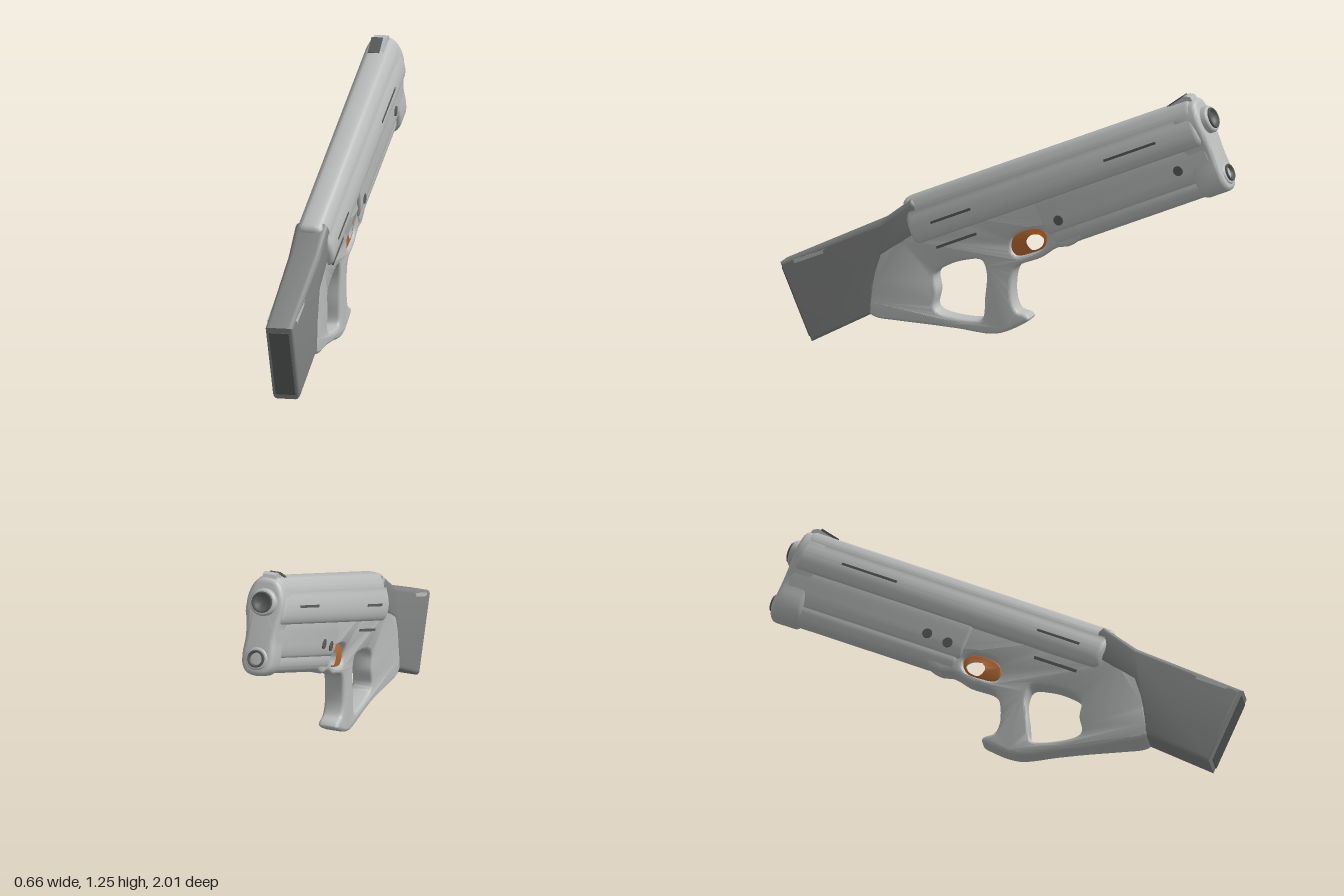
import * as THREE from 'three';
import { toCreasedNormals } from 'three/addons/utils/BufferGeometryUtils.js';

const YAW = 0.267, PITCH = 0.407, SHRINK = Math.cos(YAW);
const mat = (name, color) => Object.assign(new THREE.MeshStandardMaterial({ color }), { name });
const V2 = (a, b) => new THREE.Vector2(a, b);

// Closed smooth outline through a few points
function smooth(pts, n = 6) {
  const c = new THREE.CatmullRomCurve3(pts.map(([a, b]) => new THREE.Vector3(a, b, 0)), true, 'centripetal');
  return c.getPoints(pts.length * n).slice(0, -1).map(p => V2(p.x, p.y));
}

// Mirror half a cross-section, listed from top to bottom
const mirrored = half => [...half, ...half.slice().reverse().map(([x, y]) => [-x, y])];

// Side profile given as (z, y) -> (forward, up)
const side = pts => pts.map(([z, y]) => [-z / SHRINK, y]);

function extrude(outline, depth, bevel, holes = []) {
  const shape = new THREE.Shape(outline);
  holes.forEach(h => shape.holes.push(new THREE.Path(h)));
  const g = new THREE.ExtrudeGeometry(shape, {
    depth: depth - 2 * bevel, bevelEnabled: bevel > 0, bevelThickness: bevel,
    bevelSize: bevel, bevelOffset: -bevel, bevelSegments: 4,
  });
  return g.translate(0, 0, bevel);
}

// Plate across the width of the model, its half width set by a rule of (z, y)
function sidePlate(outline, bevel, halfWidth, holes) {
  const g = extrude(outline, 2, bevel / 0.05, holes);
  return g;
}

// Side profile extruded across x, then widened by a rule
function across(outline, half, bevel, widen, holes) {
  const g = extrude(outline, half * 2, bevel, holes).translate(0, 0, -half).rotateY(Math.PI / 2);
  const p = g.attributes.position;
  if (widen) for (let i = 0; i < p.count; i++) p.setX(i, p.getX(i) * widen(p.getZ(i) * SHRINK, p.getY(i)));
  return toCreasedNormals(g, 0.65);
}

// Cross-section extruded along the barrel from u0 to u1
const along = (outline, u0, u1, bevel) =>
  toCreasedNormals(extrude(outline, u1 - u0, bevel).translate(0, 0, -u1), 0.65);

export function createModel() {
  const body = mat('light grey shell', 0xb9bcbb);
  const grey = mat('mid grey stock', 0x828483);
  const dark = mat('dark grey fittings', 0x5a5c5b);
  const orange = mat('orange trigger', 0xb8682f);

  const model = new THREE.Group();
  model.name = 'model';
  const gun = new THREE.Group();
  gun.name = 'sideFrame';
  gun.rotation.y = -YAW;
  const barrel = new THREE.Group();
  barrel.name = 'barrelFrame';
  barrel.rotation.x = PITCH;
  gun.add(barrel);
  model.add(gun);
  const add = (parent, name, geo, m) => {
    const mesh = new THREE.Mesh(geo, m);
    mesh.name = name;
    parent.add(mesh);
    return mesh;
  };
  const step = THREE.MathUtils.smoothstep;

  // Stock, widening toward the housing
  const stockPts = side([[0.985, 0.345], [0.54, 0.572], [0.4, 0.685], [0.34, 0.64], [0.38, 0.53],
    [0.52, 0.42], [0.555, 0.28], [0.56, 0.165], [0.845, 0.005]]).map(p => V2(...p)).reverse();
  add(gun, 'stock', across(stockPts, 0.062, 0.022, z => 1.18 - 0.18 * step(z, 0.4, 0.85)), grey);

  // Butt pad set on the sloped rear face
  const pad = add(gun, 'buttPad', new THREE.BoxGeometry(0.088, 0.32, 0.008), dark);
  pad.position.set(0, 0.175, 0.915 / SHRINK);
  pad.rotation.x = Math.atan2(0.14 / SHRINK, 0.34);

  // Receiver and grip loop with its two openings
  const receiver = smooth(side([[0.42, 0.6], [0.475, 0.5], [0.55, 0.44], [0.578, 0.28], [0.588, 0.165],
    [0.565, 0.145], [0.46, 0.135], [0.2, 0.122], [0.03, 0.115], [-0.08, 0.165], [-0.118, 0.195],
    [-0.105, 0.212], [-0.065, 0.225], [-0.042, 0.275], [-0.044, 0.38], [-0.065, 0.425], [-0.17, 0.475],
    [-0.24, 0.525], [-0.3, 0.54], [-0.36, 0.6], [-0.37, 0.78], [-0.3, 0.82], [0, 0.72], [0.3, 0.62]]));
  const gripHole = smooth(side([[0.3, 0.355], [0.245, 0.4], [0.17, 0.43], [0.095, 0.437], [0.073, 0.385],
    [0.08, 0.27], [0.09, 0.18], [0.12, 0.168], [0.28, 0.185], [0.303, 0.21], [0.293, 0.28]]));
  const guardPts = side([[-0.038, 0.5], [-0.045, 0.55], [-0.09, 0.585], [-0.165, 0.602], [-0.195, 0.575],
    [-0.18, 0.52], [-0.12, 0.488], [-0.06, 0.474]]);
  const widen = (z, y) => 1 + 0.5 * step(z, 0.28, 0.55)
    + 0.4 * step(y * Math.cos(PITCH) + z * Math.sin(PITCH), 0.46, 0.54) * (1 - step(z, 0.28, 0.55));
  add(gun, 'receiver', across(receiver, 0.046, 0.016, widen, [gripHole, smooth(guardPts)]), body);

  // Orange trigger lining the guard opening
  const finger = smooth(side([[-0.1, 0.535], [-0.115, 0.568], [-0.155, 0.58], [-0.185, 0.56],
    [-0.175, 0.522], [-0.13, 0.5]]));
  add(gun, 'trigger', across(smooth(guardPts), 0.034, 0.004, null, [finger]), orange);

  // Pale inlays on the stock, and screws above the guard
  for (const s of [-1, 1]) {
    const inlay = add(gun, 'stockInlay', new THREE.BoxGeometry(0.006, 0.016, 0.22), body);
    inlay.position.set(s * 0.0625, 0.402, 0.82 / SHRINK);
    inlay.rotation.x = PITCH;
  }

  // Upper housing: narrow flat top, shouldered sides, full lower bulge
  const housing = smooth(mirrored([[0.036, 0.8], [0.05, 0.79], [0.07, 0.757], [0.075, 0.735], [0.086, 0.705],
    [0.093, 0.67], [0.091, 0.63], [0.078, 0.604], [0.06, 0.6]]), 4).reverse();
  add(barrel, 'upperHousing', along(housing, -0.165, 1.285, 0.03), body);

  // Lower body and the rounded fore-end tube under it
  const lower = smooth(mirrored([[0.06, 0.63], [0.07, 0.61], [0.069, 0.53], [0.063, 0.475], [0.05, 0.45]]), 4).reverse();
  add(barrel, 'lowerBody', along(lower, 0.43, 1.28, 0.012), body);
  const tube = smooth(mirrored([[0.04, 0.48], [0.052, 0.45], [0.05, 0.415], [0.036, 0.39], [0.015, 0.379]]), 4).reverse();
  add(barrel, 'foreEnd', along(tube, 0.44, 1.2, 0.015), body);

  // Front cap around both bores
  const cap = smooth(mirrored([[0.035, 0.792], [0.06, 0.77], [0.08, 0.72], [0.084, 0.67], [0.074, 0.6],
    [0.068, 0.53], [0.072, 0.46], [0.064, 0.405], [0.035, 0.374]]), 4).reverse();
  add(barrel, 'frontCap', along(cap, 1.17, 1.305, 0.022), body);

  // Bores: pale collar with a dark hollow muzzle
  for (const [name, v, r, u] of [['upperMuzzle', 0.69, 0.06, 1.335], ['lowerMuzzle', 0.443, 0.052, 1.312]]) {
    const bore = new THREE.Group();
    bore.name = name;
    bore.position.set(0, v, -u);
    bore.rotation.x = -Math.PI / 2;
    barrel.add(bore);
    const lathe = pts => new THREE.LatheGeometry(pts.map(p => V2(...p)), 32);
    add(bore, 'collar', lathe([[r, -0.06], [r, -0.012], [r - 0.004, -0.003], [r - 0.01, 0], [r - 0.02, 0]]), body);
    add(bore, 'muzzle', lathe([[r - 0.014, -0.04], [r - 0.014, 0.006], [r - 0.018, 0.01], [r - 0.024, 0.006],
      [r - 0.026, -0.012], [0, -0.014]]), dark);
  }

  // Front sight ramp with a dark face
  const ramp = new THREE.Shape([V2(1.14, 0.78), V2(1.29, 0.78), V2(1.285, 0.81), V2(1.265, 0.821), V2(1.245, 0.82), V2(1.16, 0.8)]);
  const rampGeo = new THREE.ExtrudeGeometry(ramp, { depth: 0.06, bevelEnabled: false });
  add(barrel, 'sightRamp', rampGeo.translate(0, 0, -0.03).rotateY(Math.PI / 2), body);
  const face = add(barrel, 'sightFace', new THREE.BoxGeometry(0.05, 0.008, 0.09), dark);
  face.position.set(-0.012, 0.811, -1.203);
  face.rotation.x = Math.atan2(0.02, 0.085);

  // Dark slots along both sides: [u centre, v, x, length]
  for (const s of [-1, 1]) {
    for (const [u, v, x, len] of [[0.05, 0.673, 0.0905, 0.2], [0.95, 0.68, 0.0895, 0.26], [0.02, 0.56, 0.0635, 0.2]]) {
      const slot = add(barrel, 'sideSlot', new THREE.BoxGeometry(0.007, 0.011, len), dark);
      slot.position.set(s * x, v, -u);
    }
  }

  // Screw heads: [side, u, v, x]
  for (const [s, u, v, x] of [[-1, 0.505, 0.498, 0.066], [-1, 0.605, 0.508, 0.067], [1, 0.505, 0.498, 0.066], [1, 1.12, 0.53, 0.069]]) {
    const screw = add(barrel, 'screw', new THREE.CylinderGeometry(0.022, 0.022, 0.008, 20), dark);
    screw.rotation.z = Math.PI / 2;
    screw.position.set(s * x, v, -u);
  }
  return model;
}
